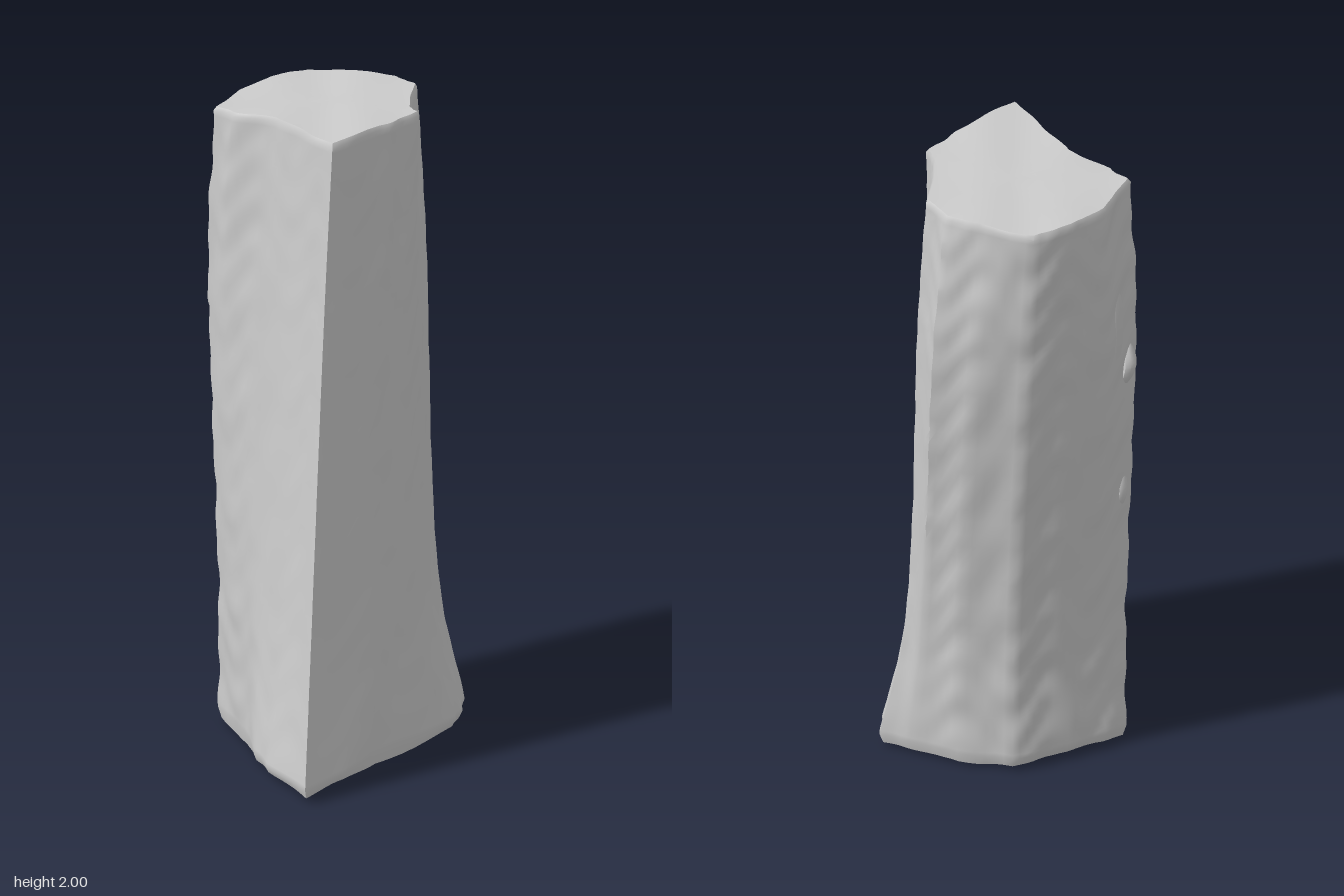
import * as THREE from 'three';
import { toCreasedNormals } from 'three/addons/utils/BufferGeometryUtils.js';

// Matching x, z outlines, anticlockwise from the front right-hand corner of the split face
const FOOT = [-.385, .395, -.22, .35, -.05, .265, .28, .19, .34, .13, .39, .06, .335, -.02, .25, -.145,
  .13, -.26, 0, -.285, -.13, -.29, -.25, -.28, -.285, -.08, -.35, .07, -.38, .18];
const LOW = [-.335, .345, -.12, .275, .05, .225, .18, .185, .25, .13, .33, .025, .315, -.05, .25, -.155,
  .13, -.265, 0, -.28, -.13, -.285, -.26, -.265, -.29, -.09, -.31, .04, -.325, .19];
const HIGH = [-.215, .24, -.03, .215, .07, .19, .165, .155, .22, .09, .315, -.03, .345, -.165, .265, -.26,
  .14, -.355, 0, -.37, -.14, -.365, -.285, -.28, -.27, -.19, -.225, -.05, -.215, .12];
const TOP = [-.175, .22, 0, .19, .1, .165, .18, .14, .185, .09, .31, -.07, .305, -.165, .23, -.27,
  .13, -.38, 0, -.39, -.13, -.36, -.265, -.27, -.25, -.2, -.185, -.07, -.18, .08];

const SUB = 6, ROWS = 80, N = (FOOT.length / 2) * SUB;
const topY = (x, z) => 1.983 + 0.07 * z + 0.003 * Math.sin(22 * x + 14 * z);

// Closed surface through rings of equal point count
function skin(rings) {
  const n = rings[0].length, pos = rings.flat().flatMap(p => [p.x, p.y, p.z]), idx = [];
  for (let j = 0; j < rings.length - 1; j++) {
    for (let i = 0; i < n; i++) {
      const k = (i + 1) % n, a = j * n + i, b = j * n + k;
      idx.push(a, b, b + n, a, b + n, a + n);
    }
  }
  const g = new THREE.BufferGeometry();
  g.setAttribute('position', new THREE.Float32BufferAttribute(pos, 3));
  g.setIndex(idx);
  return toCreasedNormals(g, 0.8);
}

function logGeometry() {
  // One lengthwise curve for each outline point, with straight steps between neighbours
  const curves = [];
  for (let c = 0; c < FOOT.length; c += 2) {
    const at = (s, y) => new THREE.Vector3(s[c], y, s[c + 1]);
    curves.push(new THREE.CatmullRomCurve3([
      at(FOOT, 0.045), at(LOW, 0.4), at(HIGH, 1.5), at(TOP, topY(TOP[c], TOP[c + 1]) - 0.012)]));
  }
  const body = [];
  for (let r = 0; r <= ROWS; r++) {
    const keys = curves.map(c => c.getPoint(r / ROWS)), ring = [];
    for (let i = 0; i < N; i++) {
      const k = Math.floor(i / SUB);
      const p = keys[k].clone().lerp(keys[(k + 1) % keys.length], (i % SUB) / SUB);
      // Long wood grain, with rougher lumps on the bark at the back
      const u = 2 * Math.PI * i / N, bark = p.z < -0.1 ? 1 : 0.4;
      const d = 0.003 * Math.sin(13 * u + 1.5 * Math.sin(2 * p.y))
        + 0.003 * bark * Math.sin(21 * p.y + 2 * Math.sin(5 * u)) * Math.sin(9 * u + 2 * p.y)
        + 0.002 * bark * Math.sin(43 * p.y + 3 * Math.sin(8 * u));
      const out = new THREE.Vector3(p.x, 0, p.z + 0.05).normalize();
      ring.push(p.addScaledVector(out, d));
    }
    body.push(ring);
  }
  // Cut ends made of shrinking rings
  const cap = (ring, cx, cz, s, yOf) => ring.map(p => {
    const x = cx + (p.x - cx) * s, z = cz + (p.z - cz) * s;
    return new THREE.Vector3(x, yOf(x, z), z);
  });
  const under = (x, z) => 0.012 + 0.012 * Math.sin(9 * x - 7 * z);
  const ends = [0, 0.4, 0.75, 0.97].map(s => cap(body[0], 0, 0, s, under));
  const tops = [0.975, 0.8, 0.5, 0.25, 0].map(s => cap(body[ROWS], 0.04, -0.1, s, topY));
  return skin([...ends, ...body, ...tops]);
}

// Thin pointed strip of torn wood following a path
function sliver(points, width, depth) {
  const path = new THREE.CatmullRomCurve3(points.map(p => new THREE.Vector3(...p)));
  const rings = [];
  for (let j = 0; j <= 12; j++) {
    const c = path.getPoint(j / 12), s = Math.pow(Math.sin(Math.PI * j / 12), 0.5);
    rings.push([0, 1, 2, 3, 4, 5, 6, 7].map(i => {
      const a = -i * Math.PI / 4, u = Math.cos(a) * width * s, v = Math.sin(a) * depth * s;
      // Strip lies along the back corner
      return new THREE.Vector3(c.x + u * 0.85 - v * 0.5, c.y, c.z - u * 0.5 - v * 0.85);
    }));
  }
  return skin(rings.reverse());
}

export function createModel() {
  const group = new THREE.Group();
  group.name = 'splitLog';
  const wood = new THREE.MeshStandardMaterial({ color: 0xcccccc, side: THREE.DoubleSide });
  const add = (name, geometry) => {
    const mesh = new THREE.Mesh(geometry, wood);
    mesh.name = name;
    group.add(mesh);
  };
  add('logBody', logGeometry());
  // Raised bark along the back
  add('longBarkSliver', sliver([[-.18, 1.24, -.31], [-.19, 1.45, -.323], [-.185, 1.7, -.322]], 0.03, 0.016));
  add('shortBarkSliver', sliver([[-.23, 1.25, -.285], [-.24, 1.34, -.312], [-.24, 1.42, -.295]], 0.025, 0.022));
  add('lowBarkSliver', sliver([[-.23, .8, -.265], [-.235, .87, -.282], [-.24, .95, -.275]], 0.022, 0.012));
  return group;
}
